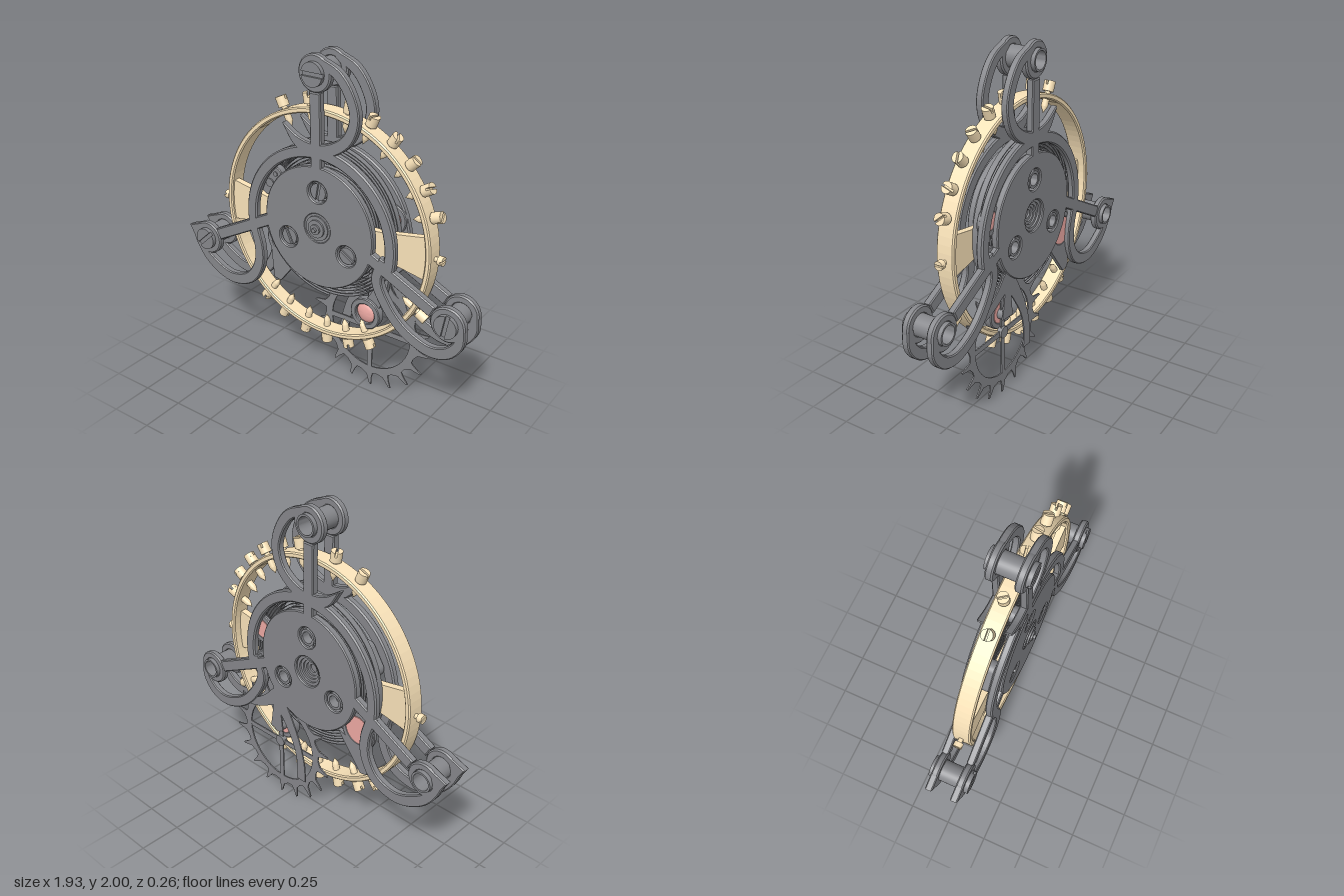
import * as THREE from 'three';
import { toCreasedNormals } from 'three/addons/utils/BufferGeometryUtils.js';

const steel = new THREE.MeshStandardMaterial({ color: 0x86878b });
const gold = new THREE.MeshStandardMaterial({ color: 0xfbe4ba });
const ruby = new THREE.MeshStandardMaterial({ color: 0xeeaaa4 });
const CX = 0.022, CY = 1.02;     // axis of the bridges
const BY = 1.003;                // axis height of the balance
const V = (x, y) => new THREE.Vector2(x, y);

function add(parent, name, geometry, material = steel) {
  const mesh = new THREE.Mesh(geometry, material);
  mesh.name = name;
  parent.add(mesh);
  return mesh;
}
// Flat plate between two depths, optionally chamfered
function plate(shape, z0, z1, bevel = 0) {
  return new THREE.ExtrudeGeometry(shape, {
    depth: z1 - z0 - 2 * bevel, curveSegments: 48, bevelEnabled: bevel > 0,
    bevelSize: bevel, bevelOffset: -bevel, bevelThickness: bevel, bevelSegments: 1,
  }).translate(0, 0, z0 + bevel);
}
function disc(x, y, r, holes = []) {
  const s = new THREE.Shape().absarc(x, y, r, 0, Math.PI * 2);
  for (const [hx, hy, hr] of holes) s.holes.push(new THREE.Path().absarc(hx, hy, hr, 0, Math.PI * 2, true));
  return s;
}
const poly = (pts) => new THREE.Shape(pts.map(([x, y]) => V(x, y)));
// Curved stroke whose half width varies along the path: [x, y, halfWidth]
function stroke(pts, n = 40) {
  const curve = new THREE.CatmullRomCurve3(pts.map((p) => new THREE.Vector3(...p)));
  const a = [], b = [];
  for (let i = 0; i <= n; i++) {
    const p = curve.getPoint(i / n), t = curve.getTangent(i / n);
    const l = Math.hypot(t.x, t.y), w = Math.max(p.z, 0.002);
    a.push(V(p.x - (t.y / l) * w, p.y + (t.x / l) * w));
    b.push(V(p.x + (t.y / l) * w, p.y - (t.x / l) * w));
  }
  return new THREE.Shape(a.concat(b.reverse()));
}
// Profile of [radius, z] turned about z, sharp at its corners
function lathe(pts, seg = 32) {
  return toCreasedNormals(new THREE.LatheGeometry(pts.map(([r, z]) => V(r, z)), seg).rotateX(Math.PI / 2), 0.5);
}
const rod = (r, h) => new THREE.CylinderGeometry(r, r, h, 32).rotateX(Math.PI / 2);
// Slotted screw head along +z, base at z = 0
function screwHead(r, h, material, name, angle = 0) {
  const g = new THREE.Group();
  g.name = name;
  add(g, 'headBase', rod(r, h * 0.6).translate(0, 0, h * 0.3), material);
  const a = Math.asin(0.18);
  for (const k of [0, Math.PI]) {
    add(g, 'headHalf', plate(new THREE.Shape().absarc(0, 0, r, a + k, Math.PI - a + k), h * 0.6, h), material);
  }
  g.rotation.z = angle;
  return g;
}

const pillars = [[0.004, 1.897, 0], [-0.818, 0.715, 0.75], [0.858, 0.695, 1.4]];
const armEnds = [[0.015, 1.3], [-0.28, 1.0], [0.315, 0.96]];
const plateScrews = [[0.022, 1.235], [-0.18, 0.91], [0.217, 0.903]];
const loops = [
  [[0.03, 1.967, 0.025], [0.15, 1.91, 0.03], [0.225, 1.81, 0.031], [0.255, 1.7, 0.031], [0.215, 1.58, 0.033],
    [0.12, 1.505, 0.036], [0.01, 1.475, 0.038], [-0.11, 1.5, 0.032], [-0.21, 1.59, 0.004]],
  [[-0.95, 0.765, 0.004], [-0.88, 0.65, 0.025], [-0.79, 0.56, 0.035], [-0.64, 0.497, 0.036], [-0.49, 0.54, 0.036],
    [-0.415, 0.655, 0.034], [-0.41, 0.785, 0.033], [-0.46, 0.94, 0.03]],
  [[0.935, 0.7, 0.025], [0.93, 0.6, 0.03], [0.86, 0.52, 0.035], [0.755, 0.496, 0.035], [0.595, 0.56, 0.034],
    [0.478, 0.68, 0.033], [0.413, 0.82, 0.033], [0.458, 0.95, 0.03]],
];

// One cage bridge: disc, partial ring, arms, eyes and scroll loops
function bridge(name, z0, z1, centreHole) {
  const g = new THREE.Group();
  g.name = name;
  const holes = plateScrews.map(([x, y]) => [x, y, 0.062]);
  holes.push([CX, CY, centreHole]);
  add(g, 'bridgeDisc', plate(disc(CX, CY, 0.365, holes), z0, z1, 0.006));
  const ring = new THREE.Shape().absarc(CX, 0.99, 0.505, -0.2, Math.PI + 0.3);
  ring.absarc(CX, 0.99, 0.437, Math.PI + 0.3, -0.2, true);
  add(g, 'bridgeRing', plate(ring, z0, z1, 0.008));
  pillars.forEach(([x, y], i) => {
    const [ex, ey] = armEnds[i];
    add(g, 'arm', plate(stroke([[x + (ex - x) * 0.17, y + (ey - y) * 0.17, 0.036], [ex, ey, 0.036]], 2), z0, z1, 0.006));
    add(g, 'armEye', plate(disc(x, y, 0.104, [[x, y, 0.058]]), z0, z1, 0.008));
    add(g, 'scrollLoop', plate(stroke(loops[i]), z0, z1, 0.006));
  });
  add(g, 'pointedTip', plate(poly([[-0.965, 0.765], [-0.89, 0.64], [-0.87, 0.72], [-0.86, 0.805]]), z0, z1, 0.006));
  return g;
}

export function createModel() {
  const model = new THREE.Group();
  model.name = 'tourbillon';
  model.add(bridge('frontBridge', 0.05, 0.093, 0.085), bridge('backBridge', -0.104, -0.062, 0.092));

  // Pillars: slotted screw at the front, open bore at the back
  for (const [x, y, a] of pillars) {
    const p = new THREE.Group();
    p.name = 'pillar';
    p.position.set(x, y, 0);
    add(p, 'barrel', lathe([[0, -0.02], [0.05, -0.02], [0.05, -0.125], [0.062, -0.125], [0.062, 0.09], [0, 0.09]]));
    const head = screwHead(0.067, 0.033, steel, 'pillarScrew', a);
    head.position.z = 0.085;
    p.add(head);
    model.add(p);
  }
  // Screws and bored posts, clear of the holes in both discs
  plateScrews.forEach(([x, y], i) => {
    const head = screwHead(0.05, 0.03, steel, 'discScrew', i * 0.6 + 1.4);
    head.position.set(x, y, 0.055);
    model.add(head);
    add(model, 'discPost', lathe([[0, -0.05], [0.035, -0.05], [0.035, -0.1], [0.05, -0.1], [0.05, 0.056], [0, 0.056]])).position.set(x, y, 0);
  });
  // Front bearing with stepped cap, back bearing recess, staff
  add(model, 'frontBearing', lathe([[0.087, 0.05], [0.087, 0.09], [0.074, 0.09], [0.074, 0.098], [0.053, 0.098], [0.053, 0.108],
    [0.03, 0.108], [0.03, 0.118], [0.013, 0.118], [0.013, 0.132], [0, 0.132]])).position.set(CX, CY, 0);
  add(model, 'backBearing', lathe([[0, -0.045], [0.025, -0.045], [0.025, -0.056], [0.042, -0.056], [0.042, -0.066], [0.058, -0.066],
    [0.058, -0.076], [0.075, -0.076], [0.075, -0.088], [0.094, -0.088]])).position.set(CX, CY, 0);
  add(model, 'balanceStaff', rod(0.04, 0.1)).position.set(CX, CY, 0.01);

  // Balance wheel
  const balance = new THREE.Group();
  balance.name = 'balanceWheel';
  balance.position.set(CX, BY, -0.004);
  add(balance, 'balanceRim', plate(disc(0, 0, 0.693, [[0, 0, 0.66]]), -0.053, 0.053, 0.007), gold);
  for (const s of [0, Math.PI]) {
    const arm = poly([[0, -0.06], [0.36, -0.075], [0.46, -0.09], [0.65, -0.125], [0.668, 0], [0.65, 0.125], [0.46, 0.09], [0.36, 0.075], [0, 0.06]]);
    add(balance, 'balanceArm', plate(arm, -0.005, 0.035), gold).rotation.z = s;
  }
  // Timing screws around the rim, two small ones at the arms
  for (const deg of [0, 180, 114.5, 99.6, 78.8, 67, 54.7, 43, 31, 19, -30, 233, 245, 258, 270, 282, 294]) {
    const small = deg === 0 || deg === 180;
    const s = new THREE.Group();
    s.name = 'timingScrew';
    const head = screwHead(small ? 0.026 : 0.032, small ? 0.03 : 0.06, gold, 'timingHead', deg * 0.7);
    head.position.z = small ? 0.715 : 0.705;
    s.add(head);
    const tip = small ? [[0, 0.67], [0.014, 0.67], [0.014, 0.72]] : [[0, 0.58], [0.02, 0.62], [0.02, 0.68], [0.016, 0.68], [0.016, 0.71]];
    add(s, 'timingShank', lathe(tip, 16), gold);
    s.rotation.y = Math.PI / 2;
    const spoke = new THREE.Group();
    spoke.add(s);
    spoke.rotation.z = deg * Math.PI / 180;
    balance.add(spoke);
  }
  model.add(balance);

  // Hairspring: a flat ribbon wound in a spiral
  const pos = [], idx = [], turns = 22, per = 64, n = turns * per;
  for (let i = 0; i <= n; i++) {
    const a = (i / per - 0.25) * Math.PI * 2, r = 0.1 + 0.375 * (i / n);
    for (const [dr, z] of [[-0.002, -0.045], [0.002, -0.045], [0.002, -0.012], [-0.002, -0.012]])
      pos.push((r + dr) * Math.cos(a), (r + dr) * Math.sin(a), z);
    if (i < n) for (let k = 0; k < 4; k++) {
      const p = i * 4 + k, q = i * 4 + (k + 1) % 4;
      idx.push(p, p + 4, q, q, p + 4, q + 4);
    }
  }
  const spiral = new THREE.BufferGeometry();
  spiral.setAttribute('position', new THREE.Float32BufferAttribute(pos, 3));
  spiral.setIndex(idx);
  const springSteel = steel.clone();
  springSteel.side = THREE.DoubleSide;
  add(model, 'hairspring', toCreasedNormals(spiral, 0.5), springSteel).position.set(CX, CY, 0);
  // Spring stud: rounded tab with two pins
  const tabShape = new THREE.Shape().absarc(0.055, 0, 0.046, -Math.PI / 2, Math.PI / 2);
  tabShape.absarc(-0.055, 0, 0.046, Math.PI / 2, Math.PI * 1.5);
  const stud = new THREE.Group();
  stud.name = 'springStud';
  stud.position.set(-0.335, 1.2, 0);
  stud.rotation.z = 1.0;
  add(stud, 'studTab', plate(tabShape, -0.005, 0.045, 0.005));
  add(stud, 'studScrew', rod(0.026, 0.012)).position.set(-0.015, 0, 0.046);
  add(stud, 'studPin', rod(0.014, 0.012)).position.set(0.06, 0, 0.046);
  model.add(stud);

  // Domed jewels in their settings
  for (const [x, y, r, z0, z1] of [[-0.335, 0.78, 0.085, -0.075, -0.05], [0.413, 1.13, 0.055, -0.075, -0.05],
    [0.418, 0.89, 0.055, -0.075, -0.05], [0.287, 0.515, 0.062, -0.05, 0.0]]) {
    add(model, 'jewelSetting', plate(disc(x, y, r + 0.035, [[x, y, r]]), z0, z1, 0.005));
    const h = z1 - z0;
    add(model, 'jewel', lathe([[0, 0], [r, 0], [r, h * 0.6], [r * 0.85, h * 0.78], [r * 0.6, h * 0.9], [r * 0.3, h * 0.97], [0, h]]), ruby)
      .position.set(x, y, z0);
  }
  add(model, 'jewelSupport', plate(poly([[-0.43, 0.74], [-0.41, 0.51], [-0.36, 0.5], [-0.19, 0.72], [-0.27, 0.7], [-0.34, 0.68]]), -0.075, -0.05));
  add(model, 'jewelArm', plate(stroke([[0.33, 0.59, 0.045], [0.37, 0.68, 0.04], [0.38, 0.8, 0.05]]), -0.05, -0.02));
  add(model, 'jewelPost', rod(0.035, 0.045)).position.set(0.287, 0.515, -0.072);

  // Escape wheel with raked teeth and four spokes
  const rim = [], teeth = 18;
  for (let i = 0; i < teeth; i++) {
    const a = (i / teeth) * Math.PI * 2;
    for (const [r, d] of [[0.312, 0], [0.33, 0.12], [0.39, 0.18], [0.397, 0.21], [0.35, 0.22], [0.315, 0.25]])
      rim.push(V(r * Math.cos(a + d), r * Math.sin(a + d)));
  }
  const wheelShape = new THREE.Shape(rim);
  wheelShape.holes.push(new THREE.Path().absarc(0, 0, 0.268, 0, Math.PI * 2, true));
  const wheel = new THREE.Group();
  wheel.name = 'escapeWheel';
  wheel.position.set(0.29, 0.397, -0.063);
  add(wheel, 'toothedRim', plate(wheelShape, -0.004, 0.004));
  for (const s of [0, Math.PI / 2]) add(wheel, 'spokes', new THREE.BoxGeometry(0.55, 0.032, 0.0075)).rotation.z = s;
  add(wheel, 'wheelHub', rod(0.035, 0.03));
  model.add(wheel);

  // Thin pallet lever behind the wheel
  for (const path of [
    [[0.28, 0.74, 0.05], [0.2, 0.62, 0.04], [0.12, 0.46, 0.03], [0.09, 0.33, 0.03], [0.09, 0.215, 0.035]],
    [[0.28, 0.74, 0.05], [0.37, 0.67, 0.035], [0.48, 0.61, 0.025], [0.58, 0.58, 0.01]],
    [[0.24, 0.82, 0.07], [0.28, 0.66, 0.035], [0.29, 0.5, 0.05]],
  ]) add(model, 'palletLever', plate(stroke(path), -0.099, -0.091));
  return model;
}
